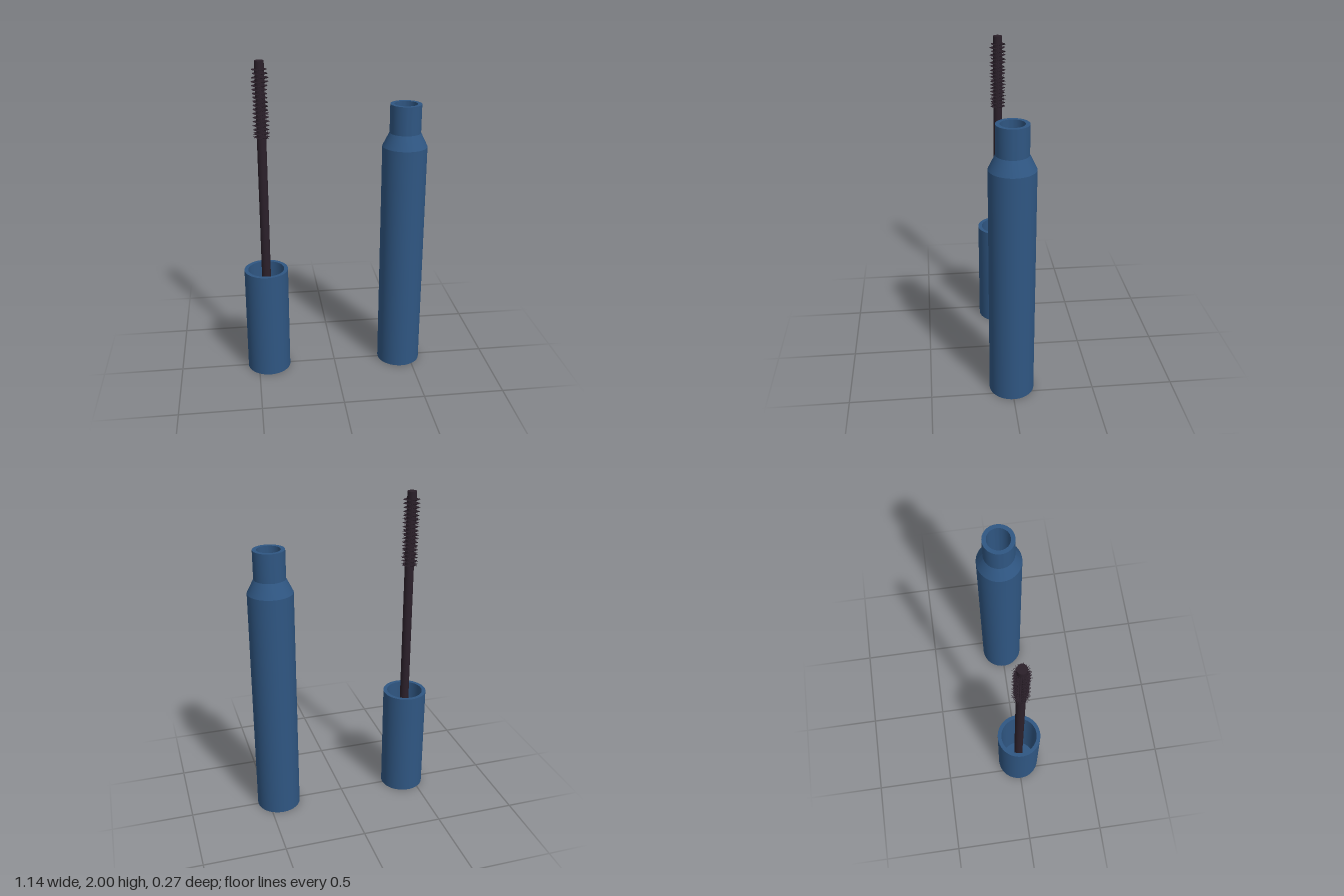
import * as THREE from 'three';
import { mergeGeometries, toCreasedNormals } from 'three/addons/utils/BufferGeometryUtils.js';

const blue = new THREE.MeshStandardMaterial({ color: 0x2f5682 });
blue.name = 'blue plastic';
const dark = new THREE.MeshStandardMaterial({ color: 0x2b202a });
dark.name = 'dark wand';

// Turned part with crisp rims, profile as [radius, height] from the base outwards
function turned(name, profile, x) {
  const points = profile.map(([r, y]) => new THREE.Vector2(r, y));
  const geometry = toCreasedNormals(new THREE.LatheGeometry(points, 64), 0.35);
  const mesh = new THREE.Mesh(geometry, blue);
  mesh.name = name;
  mesh.position.x = x;
  return mesh;
}

// Rings of tapered spikes around the wand tip
function bristleGeometry(rows, perRow, bottom, top) {
  const spikes = [];
  const inner = 0.024, outer = 0.053;
  for (let row = 0; row < rows; row++) {
    const y = bottom + (top - bottom) * row / (rows - 1);
    for (let i = 0; i < perRow; i++) {
      const spike = new THREE.ConeGeometry(0.0035, outer - inner, 6);
      spike.rotateZ(-Math.PI / 2);
      spike.translate((inner + outer) / 2, y, 0);
      spike.rotateY(i / perRow * Math.PI * 2);
      spikes.push(spike);
    }
  }
  return mergeGeometries(spikes);
}

export function createModel() {
  const group = new THREE.Group();
  group.name = 'mascara';
  const side = 0.432;

  // Hollow bottle with sloped shoulder and open neck
  group.add(turned('bottle', [
    [0, 0], [0.137, 0], [0.137, 1.465], [0.095, 1.55], [0.095, 1.725],
    [0.07, 1.725], [0.07, 0.04], [0, 0.04],
  ], side));

  // Hollow cap that holds the wand
  const applicator = new THREE.Group();
  applicator.name = 'applicator';
  applicator.position.x = -side;
  applicator.add(turned('cap', [
    [0, 0], [0.137, 0], [0.137, 0.692], [0.113, 0.692], [0.113, 0.04], [0, 0.04],
  ], 0));

  const wand = new THREE.Mesh(new THREE.CylinderGeometry(0.028, 0.028, 1.97, 32), dark);
  wand.name = 'wand';
  wand.position.y = 1.015;
  applicator.add(wand);

  const bristles = new THREE.Mesh(bristleGeometry(18, 20, 1.55, 1.95), dark);
  bristles.name = 'bristles';
  applicator.add(bristles);

  group.add(applicator);
  return group;
}
